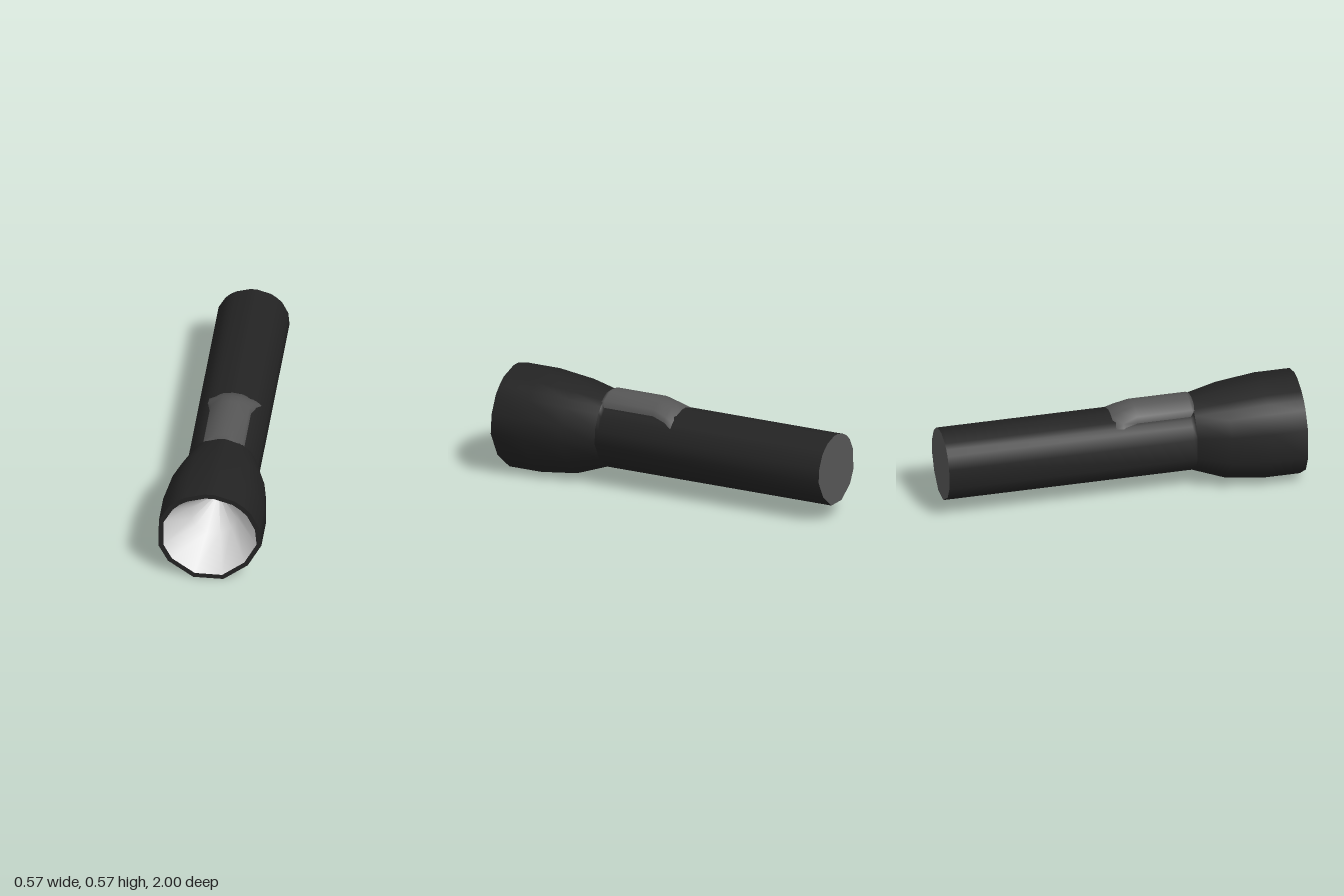
import * as THREE from 'three';

const CY = 0.286; // height of the long axis

// Faceted outline of the lens rim, counter-clockwise, relative to the axis
const OUTLINE = [
  [-0.03, 0.57], [0.025, 0.57], [0.135, 0.537], [0.185, 0.5], [0.225, 0.46], [0.273, 0.36],
  [0.283, 0.25], [0.208, 0.108], [0.073, 0.002], [-0.093, 0.002], [-0.232, 0.1], [-0.284, 0.2],
  [-0.282, 0.37], [-0.228, 0.467], [-0.187, 0.508], [-0.138, 0.538],
].reverse().map(([x, y]) => [x, y - CY]);

// Outline scaled at depth z; lift raises only the upper half
const ring = (z, s, lift = 1) =>
  OUTLINE.map(([x, y]) => [x * s, CY + y * s * (y > 0 ? lift : 1), z]);

// Smooth skin through equal-length rows of points
function loft(rows, closed = true) {
  const n = rows[0].length;
  const index = [];
  for (let i = 0; i < rows.length - 1; i++) {
    for (let j = 0; j < (closed ? n : n - 1); j++) {
      const k = (j + 1) % n;
      const a = i * n + j, b = i * n + k, c = b + n, d = a + n;
      index.push(a, b, c, a, c, d);
    }
  }
  const geo = new THREE.BufferGeometry();
  geo.setAttribute('position', new THREE.Float32BufferAttribute(rows.flat(2), 3));
  geo.setIndex(index);
  geo.computeVertexNormals();
  return geo;
}

export function createModel() {
  const black = new THREE.MeshStandardMaterial({ color: 0x232323 });
  black.name = 'black casing';
  const grey = new THREE.MeshStandardMaterial({ color: 0x565656 });
  grey.name = 'grey rubber';
  const silver = new THREE.MeshStandardMaterial({ color: 0xdedede });
  silver.name = 'pale reflector';

  const group = new THREE.Group();
  group.name = 'flashlight';
  const add = (name, geo, mat) => {
    const mesh = new THREE.Mesh(geo, mat);
    mesh.name = name;
    group.add(mesh);
  };

  // Handle tube and flared head
  const BODY = 0.69;
  add('handle', loft([ring(-1, BODY), ring(0.38, BODY), ring(0.4, BODY, 1.14)]), black);
  add('head', loft([ring(0.4, BODY, 1.14), ring(0.58, 0.91), ring(0.8, 1), ring(1, 1)]), black);
  add('lensRim', loft([ring(1, 1), ring(1, 0.905)]), black);

  // Conical reflector sunk into the head
  add('reflector', loft([ring(1, 0.905), ring(0.8, 0.45), ring(0.6, 0.001)]), silver);

  // Flat end cap
  add('endCap', loft([ring(-1, 0), ring(-1, BODY)]), grey);

  // Raised switch pad wrapped over the handle: [z, half angle in degrees, crown radius]
  const across = [-1, -0.8, -0.3, 0, 0.3, 0.8, 1];
  const bulge = [0, 0.65, 1, 1, 1, 0.65, 0];
  const pad = [
    [-0.05, 52, 0.185], [-0.05, 52, 0.199], [0.0, 43, 0.216], [0.08, 35, 0.239],
    [0.39, 35, 0.239], [0.41, 35, 0.228], [0.41, 35, 0.185],
  ].map(([z, half, crown]) => across.map((t, i) => {
    const a = THREE.MathUtils.degToRad(90 + t * half);
    const base = Math.min(0.199, crown);
    const r = base + (crown - base) * bulge[i];
    return [r * Math.cos(a), CY + r * Math.sin(a), z];
  }));
  add('switchPad', loft(pad, false), grey);

  return group;
}
